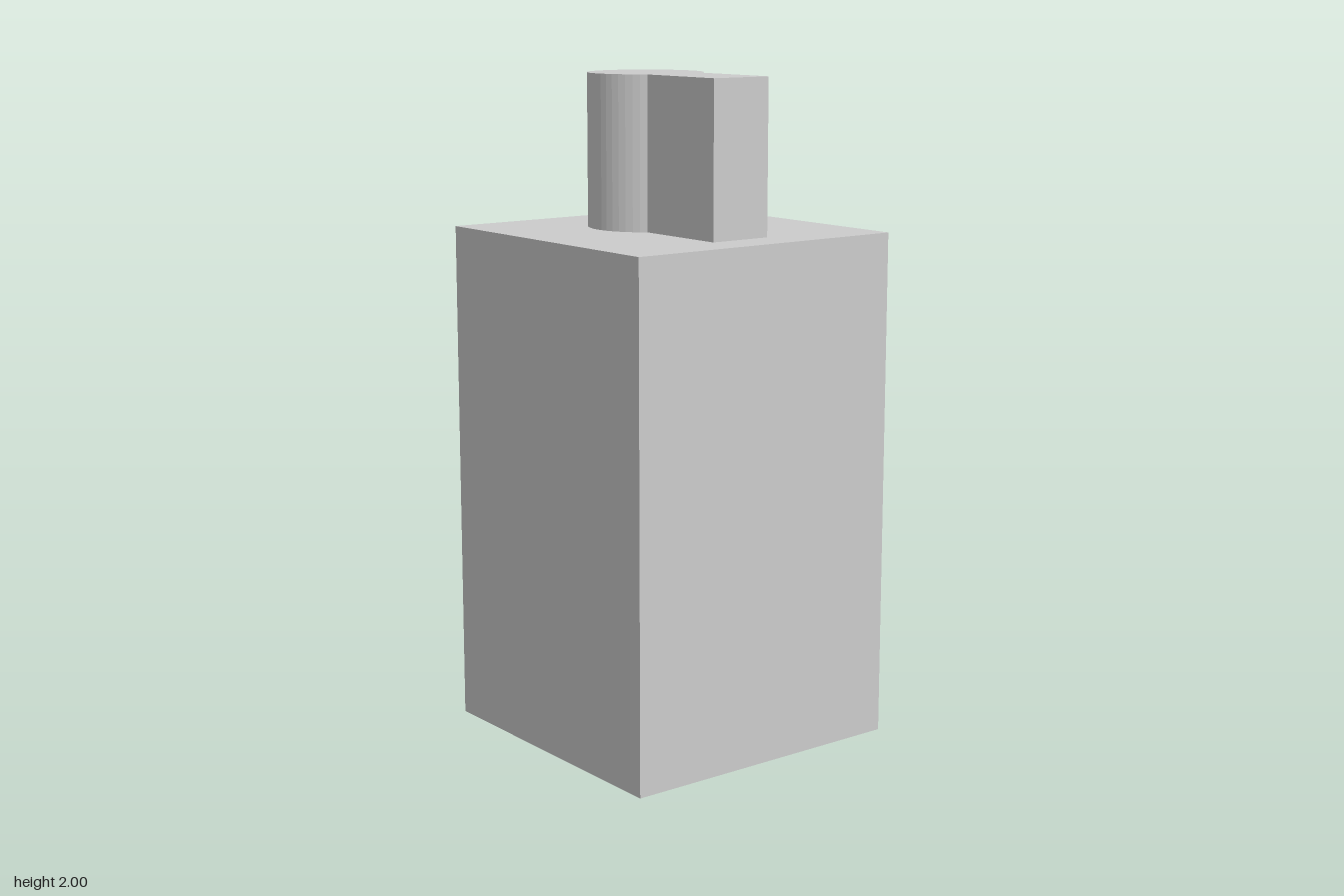
import * as THREE from 'three';

export function createModel() {
  const model = new THREE.Group();
  const material = new THREE.MeshStandardMaterial({ color: 0xcccccc, flatShading: true });

  const bodyWidth = 0.92, bodyHeight = 1.54, totalHeight = 2;

  // Square block standing on the ground
  const body = new THREE.Mesh(new THREE.BoxGeometry(bodyWidth, bodyHeight, bodyWidth), material);
  body.name = 'body';
  body.position.y = bodyHeight / 2;
  model.add(body);

  // Keyhole-shaped post: round at the back, straight bar to the front (shape y = -z)
  const radius = 0.174, centre = 0.117, half = 0.1, front = -0.333;
  const drop = Math.sqrt(radius * radius - half * half);
  const start = Math.atan2(-drop, half);
  const outline = new THREE.Shape();
  outline.moveTo(-half, front);
  outline.lineTo(half, front);
  outline.lineTo(half, centre - drop);
  outline.absarc(0, centre, radius, start, Math.PI - start, false);
  outline.closePath();

  const postGeometry = new THREE.ExtrudeGeometry(outline, {
    depth: totalHeight - bodyHeight,
    bevelEnabled: false,
    curveSegments: 20,
  });
  postGeometry.rotateX(-Math.PI / 2);
  const post = new THREE.Mesh(postGeometry, material);
  post.name = 'keyholePost';
  post.position.y = bodyHeight;
  model.add(post);

  return model;
}
